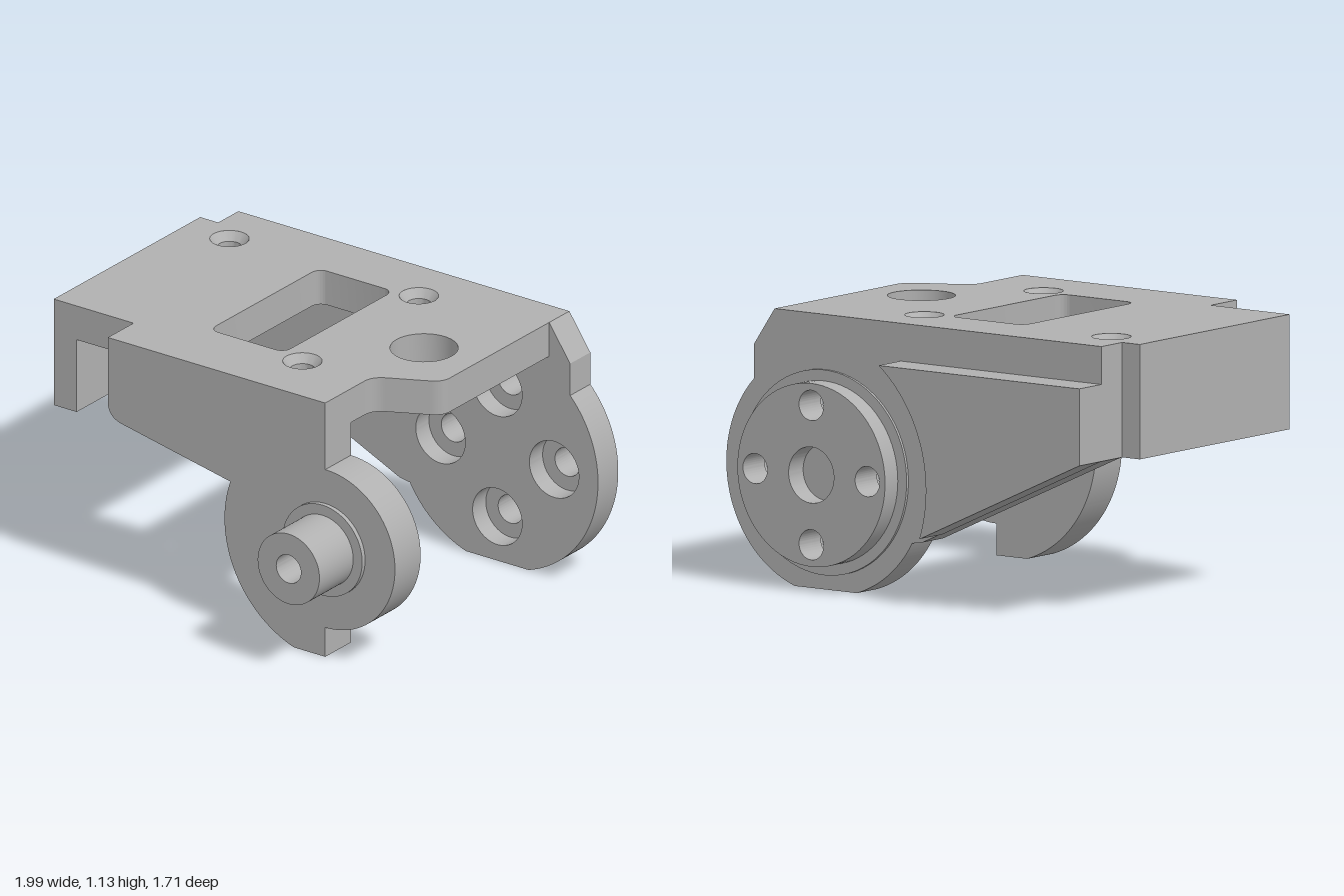
import * as THREE from 'three';
import { toCreasedNormals } from 'three/addons/utils/BufferGeometryUtils.js';

const CX = 0.49, CY = 0.48, R = 0.505; // pivot axis and cheek radius

export function createModel() {
  const group = new THREE.Group();
  const grey = new THREE.MeshStandardMaterial({ color: 0xb0b0b0 });
  grey.name = 'machined grey';

  const add = (name, geo) => {
    const mesh = new THREE.Mesh(toCreasedNormals(geo, 0.5), grey);
    mesh.name = name;
    group.add(mesh);
    return mesh;
  };
  // Extrude an x/y profile between two z positions
  const slab = (name, shape, z0, z1) => {
    const geo = new THREE.ExtrudeGeometry(shape, { depth: z1 - z0, bevelEnabled: false, curveSegments: 40 });
    geo.translate(0, 0, z0);
    return add(name, geo);
  };
  const circle = (x, y, r) => new THREE.Shape().absarc(x, y, r, 0, Math.PI * 2, false);
  const boltHoles = (r) => [0, 1, 2, 3].map((i) => {
    const a = i * Math.PI / 2;
    return circle(CX + 0.285 * Math.cos(a), CY + 0.285 * Math.sin(a), r);
  });

  // Top plate, drawn in x and -z, then laid flat
  const plate = new THREE.Shape();
  plate.moveTo(-1, 0.57);
  plate.lineTo(-1, -0.43);
  plate.lineTo(0.49, -0.43);
  plate.lineTo(0.49, -0.34);
  plate.quadraticCurveTo(0.49, -0.285, 0.54, -0.26);
  plate.lineTo(0.7, -0.18);
  plate.quadraticCurveTo(0.75, -0.155, 0.75, -0.11);
  plate.lineTo(0.75, 0.57);
  const [l, r, b, t, c] = [-0.315, 0.06, -0.3, 0.445, 0.045];
  const opening = new THREE.Path();
  opening.moveTo(l + c, b);
  opening.lineTo(r - c, b);
  opening.absarc(r - c, b + c, c, -Math.PI / 2, 0, false);
  opening.lineTo(r, t - c);
  opening.absarc(r - c, t - c, c, 0, Math.PI / 2, false);
  opening.lineTo(l + c, t);
  opening.absarc(l + c, t - c, c, Math.PI / 2, Math.PI, false);
  opening.lineTo(l, b + c);
  opening.absarc(l + c, b + c, c, Math.PI, Math.PI * 1.5, false);
  const screws = [[-0.78, -0.47], [0.17, -0.47], [0.17, 0.325]];
  plate.holes.push(opening, circle(CX, 0.07, 0.138), ...screws.map(([x, z]) => circle(x, -z, 0.08)));
  const plateGeo = new THREE.ExtrudeGeometry(plate, { depth: 0.15, bevelEnabled: false, curveSegments: 32 });
  plateGeo.rotateX(-Math.PI / 2).translate(0, 0.975, 0);
  add('topPlate', plateGeo);

  // Countersunk screw seats
  for (const [x, z] of screws) {
    const profile = [[0.08, 0.975], [0.05, 0.975], [0.05, 1.09], [0.08, 1.125]].reverse();
    const geo = new THREE.LatheGeometry(profile.map(([px, py]) => new THREE.Vector2(px, py)), 40);
    add('countersink', geo).position.set(x, 0, z);
  }
  grey.side = THREE.DoubleSide;

  // Side lip hanging from the plate end
  add('endLip', new THREE.BoxGeometry(0.115, 0.32, 1).translate(-0.9425, 0.815, -0.07));

  // Front cheek with half-width disc
  const front = new THREE.Shape();
  front.moveTo(-0.6, 1.125);
  front.lineTo(-0.6, 0.84);
  front.quadraticCurveTo(-0.6, 0.775, -0.53, 0.76);
  front.lineTo(0.014, 0.65);
  front.absarc(CX, CY, R, 2.796, 4.396, false);
  front.lineTo(CX, 0);
  front.lineTo(CX, 0.13);
  front.absarc(CX, CY, 0.35, -Math.PI / 2, Math.PI / 2, false);
  front.lineTo(CX, 1.125);
  const hex = new THREE.Path();
  for (let i = 0; i < 6; i++) {
    const a = i * Math.PI / 3;
    hex[i ? 'lineTo' : 'moveTo'](CX + 0.058 * Math.cos(a), CY + 0.058 * Math.sin(a));
  }
  hex.closePath();
  front.holes.push(hex);
  slab('frontCheek', front, 0.43, 0.605);

  // Pivot shaft and its shoulder
  for (const [name, rad, z0, z1] of [['shaftShoulder', 0.2, 0.605, 0.625], ['pivotShaft', 0.155, 0.625, 0.855]]) {
    const ring = circle(CX, CY, rad);
    ring.holes.push(circle(CX, CY, 0.062));
    slab(name, ring, z0, z1);
  }

  // Back cheek in two layers: counterbores inside, bolt holes outside
  const backShape = (holes) => {
    const s = new THREE.Shape();
    s.moveTo(-0.91, 1.125);
    s.lineTo(-0.91, 0.655);
    s.lineTo(-0.885, 0.645);
    s.lineTo(0, 0.238);
    s.lineTo(0.05, 0.23);
    s.absarc(CX, CY, R, 3.658, 4.396, false);
    s.absarc(CX, CY, R, -1.255, 0.763, false);
    s.lineTo(0.855, 0.97);
    s.lineTo(0.75, 1.125);
    s.holes.push(...holes);
    return s;
  };
  slab('backCheekInner', backShape(boltHoles(0.124)), -0.66, -0.57);
  slab('backCheekOuter', backShape(boltHoles(0.062)), -0.708, -0.66);

  // Round horn boss on the back cheek
  for (const [name, rad, z0, z1] of [['bossStep', 0.42, -0.72, -0.708], ['hornBoss', 0.375, -0.805, -0.72]]) {
    const disc = circle(CX, CY, rad);
    disc.holes.push(circle(CX, CY, 0.115), ...boltHoles(0.062));
    slab(name, disc, z0, z1);
  }

  // Thick rib curving around the boss
  const rib = new THREE.Shape();
  rib.moveTo(-0.91, 0.97);
  rib.lineTo(-0.91, 0.655);
  rib.lineTo(-0.1, 0.28);
  rib.absarc(CX, CY, 0.62, 3.468, 2.23, true);
  slab('backRib', rib, -0.855, -0.708);

  return group;
}
